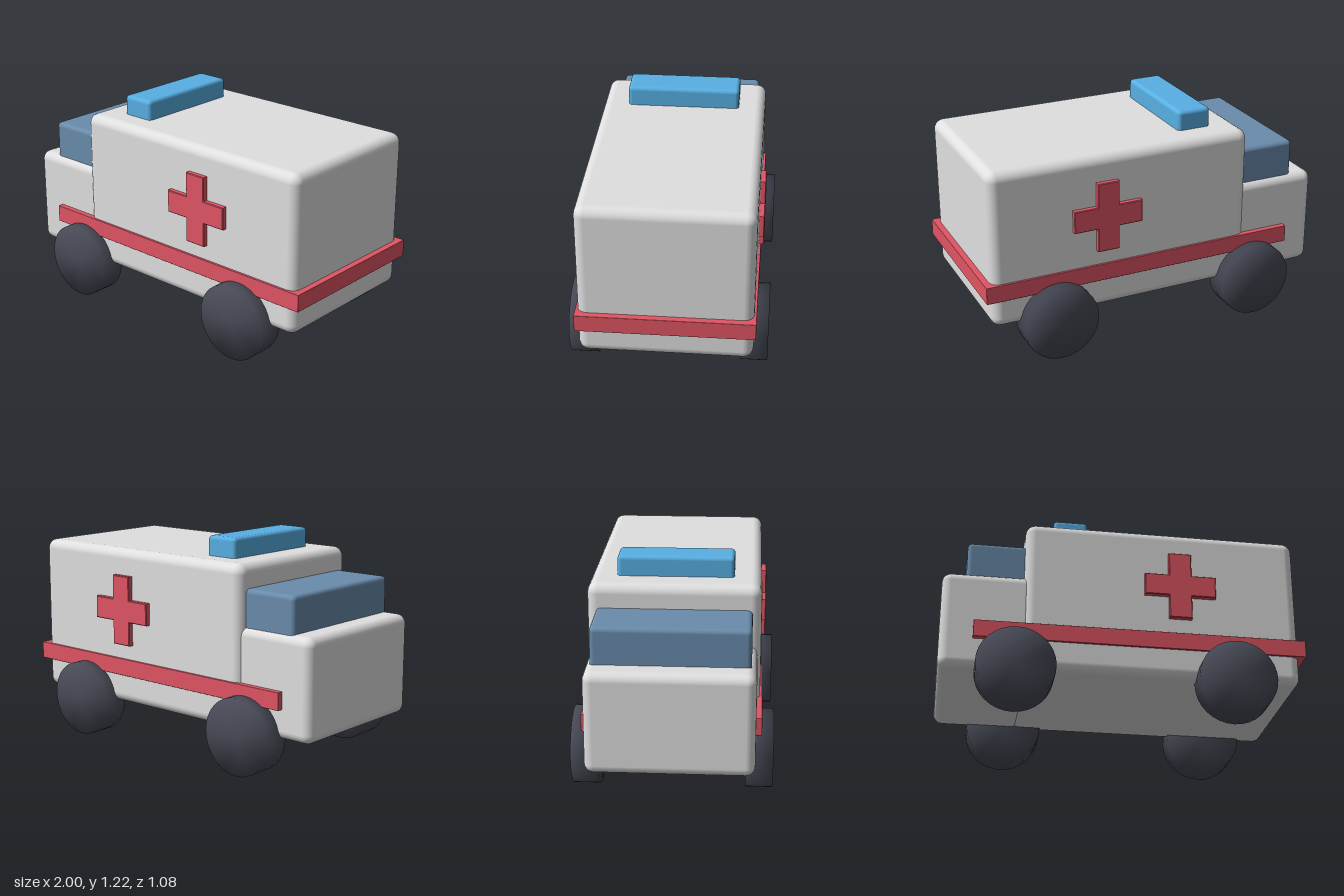
import * as THREE from 'three';
import { RoundedBoxGeometry } from 'three/addons/geometries/RoundedBoxGeometry.js';
import { mergeVertices } from 'three/addons/utils/BufferGeometryUtils.js';

const paint = (name, color) => {
  const m = new THREE.MeshStandardMaterial({ color });
  m.name = name;
  return m;
};

export function createModel() {
  const white = paint('white paint', 0xe0e0e0);
  const red = paint('red paint', 0xe05563);
  const blue = paint('siren blue', 0x58b0e4);
  const glass = paint('window glass', 0x6a8cac);
  const rubber = paint('tyre rubber', 0x474a56);

  const model = new THREE.Group();
  model.name = 'ambulance';
  const add = (name, geometry, material, x, y, z) => {
    const mesh = new THREE.Mesh(geometry, material);
    mesh.name = name;
    mesh.position.set(x, y, z);
    model.add(mesh);
    return mesh;
  };
  // Rounded block given by its x range, y range and half depth
  const block = (name, material, x0, x1, y0, y1, halfZ, radius) =>
    add(name, new RoundedBoxGeometry(x1 - x0, y1 - y0, halfZ * 2, 3, radius),
      material, (x0 + x1) / 2, (y0 + y1) / 2, 0);

  // Bodywork
  block('rearBody', white, -0.555, 0.965, 0.22, 1.11, 0.463, 0.055);
  block('cab', white, -1, -0.5, 0.22, 0.78, 0.443, 0.05);
  block('windows', glass, -0.87, -0.5, 0.7, 0.98, 0.415, 0.025);
  block('siren', blue, -0.39, -0.195, 1.08, 1.22, 0.315, 0.022);
  block('stripe', red, -0.82, 1, 0.385, 0.482, 0.475, 0.003);

  // Raised cross on both sides
  const a = 0.063, b = 0.198;
  const cross = new THREE.Shape([
    [a, a], [a, b], [-a, b], [-a, a], [-b, a], [-b, -a],
    [-a, -a], [-a, -b], [a, -b], [a, -a], [b, -a], [b, a],
  ].map(([x, y]) => new THREE.Vector2(x, y)));
  const crossGeometry = new THREE.ExtrudeGeometry(cross, {
    depth: 0.04, bevelThickness: 0.004, bevelSize: 0.004, bevelOffset: -0.004, bevelSegments: 1,
  });
  for (const side of [1, -1]) {
    const mesh = add(side > 0 ? 'frontCross' : 'backCross', crossGeometry, red, 0.303, 0.765, side * 0.448);
    if (side < 0) mesh.rotation.y = Math.PI;
  }

  // Wheels, with normals smoothed over the rim
  let wheel = new THREE.CylinderGeometry(0.213, 0.213, 0.148, 32).rotateX(Math.PI / 2);
  wheel.deleteAttribute('normal');
  wheel.deleteAttribute('uv');
  wheel = mergeVertices(wheel);
  wheel.computeVertexNormals();
  for (const x of [-0.592, 0.6]) {
    for (const side of [1, -1]) add('wheel', wheel, rubber, x, 0.213, side * 0.464);
  }
  return model;
}
